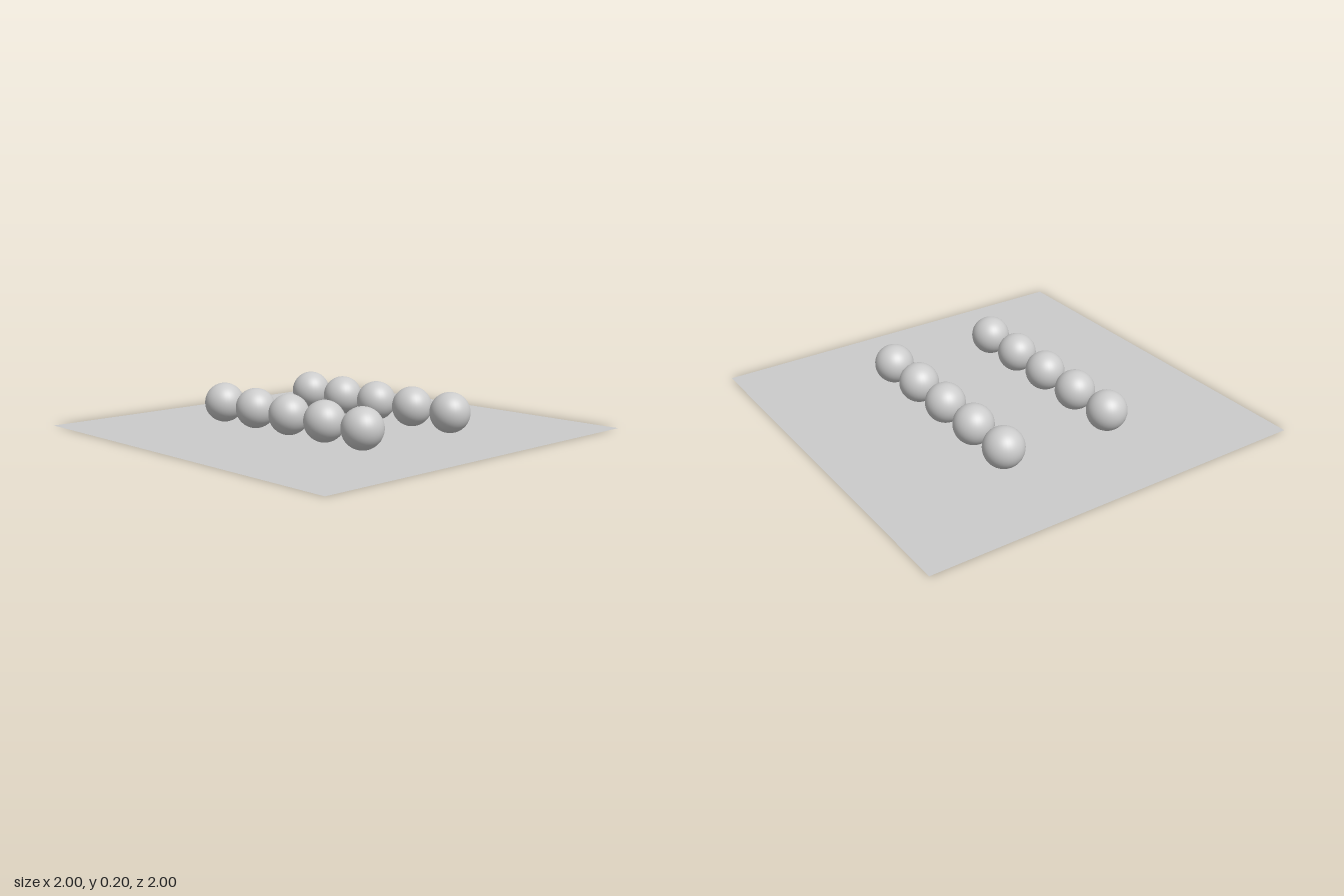
import * as THREE from 'three';

export function createModel() {
  const group = new THREE.Group();

  // Flat square ground sheet, visible from both sides
  const sheet = new THREE.Mesh(
    new THREE.PlaneGeometry(2, 2).rotateX(-Math.PI / 2),
    new THREE.MeshStandardMaterial({ color: 0xcccccc, side: THREE.DoubleSide })
  );
  sheet.name = 'groundSheet';
  group.add(sheet);

  // Two rows of five balls resting on the sheet
  const radius = 0.1;
  const spacing = 0.25;
  const ballGeometry = new THREE.SphereGeometry(radius, 32, 32);
  const ballMaterial = new THREE.MeshStandardMaterial({ color: 0xcccccc });
  for (const [rowName, z] of [['frontRow', 0.3], ['backRow', -0.3]]) {
    const row = new THREE.Group();
    row.name = rowName;
    for (let i = -2; i <= 2; i++) {
      const ball = new THREE.Mesh(ballGeometry, ballMaterial);
      ball.name = 'ball';
      ball.position.set(i * spacing, radius, z);
      row.add(ball);
    }
    group.add(row);
  }

  return group;
}
